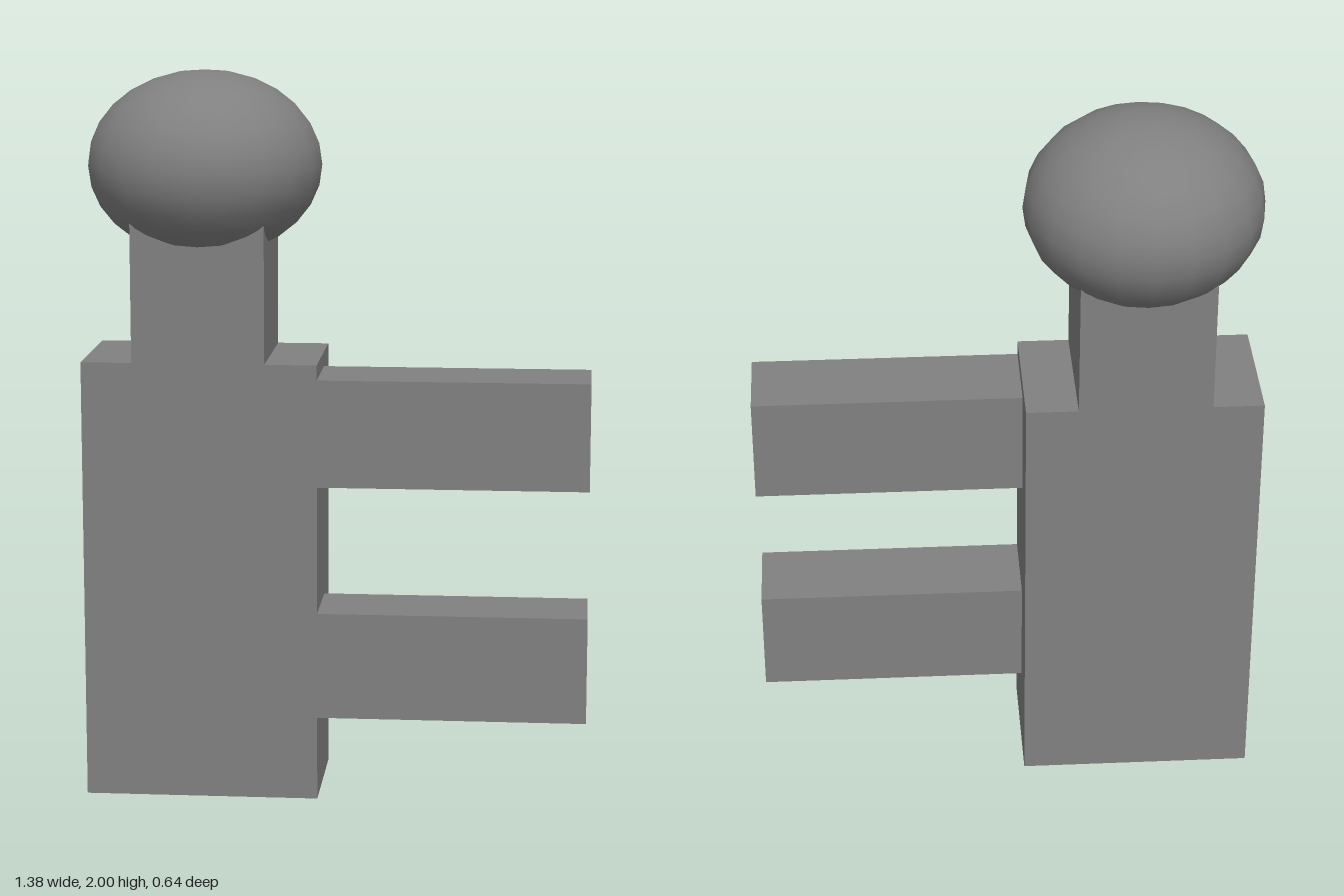
import * as THREE from 'three';

export function createModel() {
  const model = new THREE.Group();
  const grey = new THREE.MeshStandardMaterial({ color: 0x808080 });
  grey.name = 'grey';

  // Adds a box spanning the given minimum and maximum corners
  function addBox(name, [x0, y0, z0], [x1, y1, z1]) {
    const mesh = new THREE.Mesh(new THREE.BoxGeometry(x1 - x0, y1 - y0, z1 - z0), grey);
    mesh.position.set((x0 + x1) / 2, (y0 + y1) / 2, (z0 + z1) / 2);
    mesh.name = name;
    model.add(mesh);
  }

  addBox('body', [-0.692, 0, -0.185], [-0.048, 1.22, 0.185]);
  // The neck ends inside the head
  addBox('neck', [-0.553, 1.22, -0.185], [-0.19, 1.65, 0.185]);

  // Two matching arms, flush with the front of the body
  for (const [name, y] of [['lowerArm', 0.233], ['upperArm', 0.883]]) {
    addBox(name, [-0.048, y, -0.045], [0.692, y + 0.296, 0.185]);
  }

  // Flattened round head
  const head = new THREE.Mesh(new THREE.SphereGeometry(1, 20, 14), grey);
  head.scale.set(0.322, 0.255, 0.322);
  head.position.set(-0.37, 1.745, 0);
  head.name = 'head';
  model.add(head);

  return model;
}
